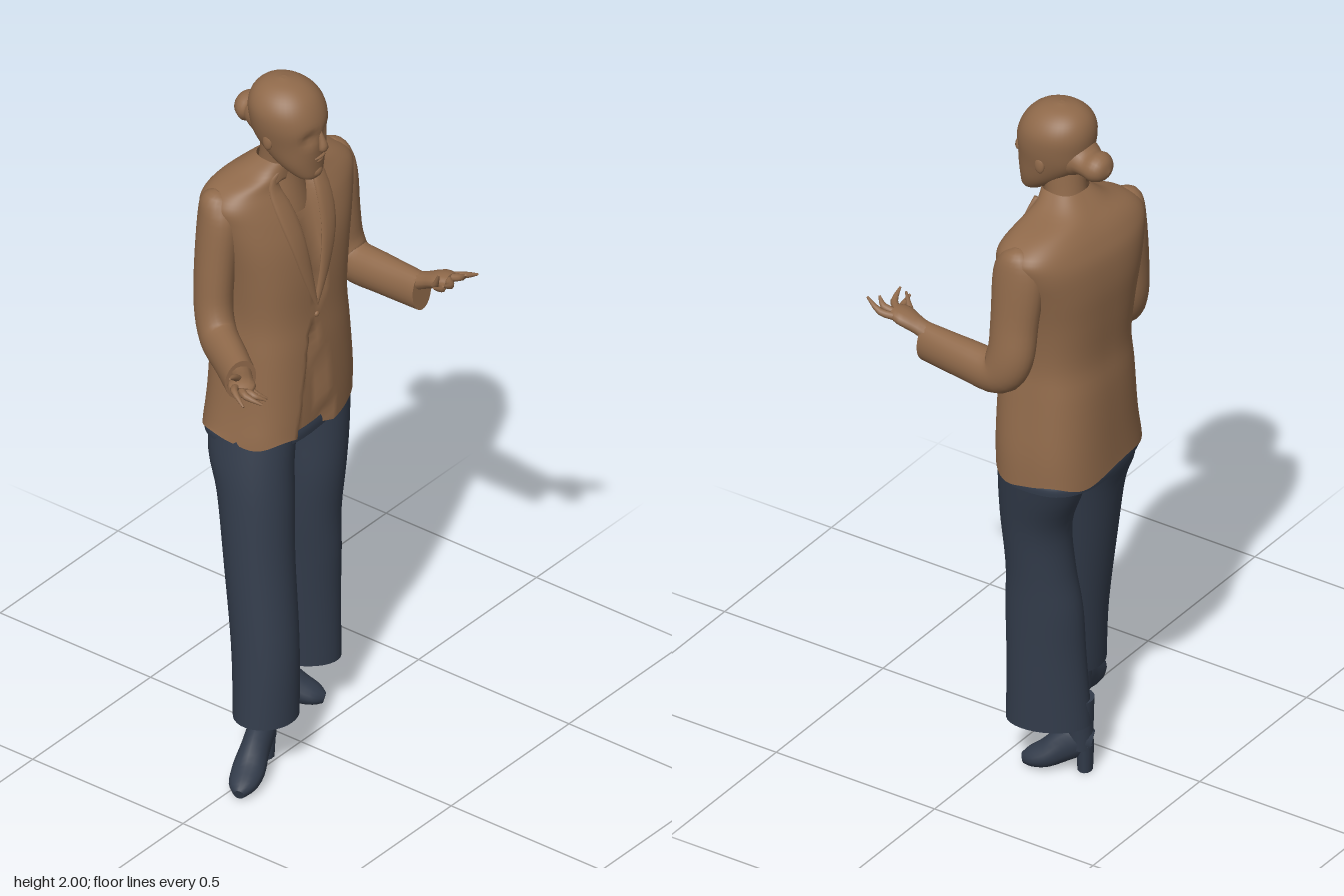
import * as THREE from 'three';

const cloth = new THREE.MeshStandardMaterial({ color: 0x8f694a, side: THREE.DoubleSide });
cloth.name = 'warm brown';
const navy = new THREE.MeshStandardMaterial({ color: 0x323b4a, side: THREE.DoubleSide });
navy.name = 'dark navy';

const V = (x, y, z) => new THREE.Vector3(x, y, z);

// Catmull-Rom interpolation of rows of numbers, n steps per span
function smooth(rows, n = 4) {
  const out = [];
  const at = i => rows[Math.max(0, Math.min(rows.length - 1, i))];
  for (let i = 0; i < rows.length - 1; i++) {
    for (let s = 0; s < n; s++) {
      const t = s / n;
      out.push(rows[i].map((p1, k) => {
        const p0 = at(i - 1)[k], p2 = at(i + 1)[k], p3 = at(i + 2)[k];
        return p1 + 0.5 * t * (p2 - p0 + t * (2 * p0 - 5 * p1 + 4 * p2 - p3 + t * (3 * (p1 - p2) + p3 - p0)));
      }));
    }
  }
  out.push(at(rows.length - 1));
  return out;
}

// Superellipse ring around centre c in the plane of u and v
function ring(c, u, v, a, b, n, power = 2) {
  return Array.from({ length: n }, (_, j) => {
    const t = j / n * Math.PI * 2, co = Math.cos(t), si = Math.sin(t), e = 2 / power;
    return c.clone()
      .addScaledVector(u, a * Math.sign(co) * Math.abs(co) ** e)
      .addScaledVector(v, b * Math.sign(si) * Math.abs(si) ** e);
  });
}

// Level rings from rows [y, cx, cz, rx, rz, yaw]; yaw may be left out
const levelRings = (rows, n, power) => smooth(rows.map(r => [...r, 0].slice(0, 6))).map(([y, x, z, a, b, yaw]) =>
  ring(V(x, y, z), V(Math.cos(yaw), 0, -Math.sin(yaw)), V(-Math.sin(yaw), 0, -Math.cos(yaw)), a, b, n, power));

// Rings across a path of rows [x, y, z, a, b]; b is measured along the hint
function pathRings(rows, hint, n, steps) {
  const r = smooth(rows, steps), p = r.map(q => V(q[0], q[1], q[2]));
  return r.map((q, i) => {
    const t = p[Math.min(i + 1, p.length - 1)].clone().sub(p[Math.max(i - 1, 0)]).normalize();
    const side = hint.clone().cross(t).normalize();
    return ring(p[i], side, t.clone().cross(side), q[3], q[4], n);
  });
}

// Skin over rings, with flat caps on both ends
function skin(name, rings, mat, caps = true) {
  const n = rings[0].length, pts = rings.flat(), index = [];
  for (let i = 0; i < rings.length - 1; i++) {
    for (let j = 0; j < n; j++) {
      const k = (j + 1) % n, a = i * n + j, b = i * n + k;
      index.push(a, b, b + n, a, b + n, a + n);
    }
  }
  if (caps) {
    [rings[0], rings[rings.length - 1]].forEach((r, end) => {
      const base = pts.length, mid = r.reduce((s, p) => s.add(p), V(0, 0, 0)).divideScalar(n);
      pts.push(...r, mid);
      for (let j = 0; j < n; j++) {
        const k = (j + 1) % n;
        index.push(base + n, base + (end ? j : k), base + (end ? k : j));
      }
    });
  }
  const g = new THREE.BufferGeometry().setFromPoints(pts);
  g.setIndex(index);
  g.computeVertexNormals();
  const m = new THREE.Mesh(g, mat);
  m.name = name;
  return m;
}

function ball(name, x, y, z, rx, ry, rz) {
  const m = new THREE.Mesh(new THREE.SphereGeometry(1, 20, 14), cloth);
  m.position.set(x, y, z);
  m.scale.set(rx, ry, rz);
  m.name = name;
  return m;
}

// Heeled boot, built pointing along +z from the back of the heel
function boot(name, x, z, yaw, length) {
  const g = new THREE.Group();
  g.name = name;
  const foot = [[0, .085, .008, .026, .03], [0, .092, .05, .036, .05], [0, .07, .11, .038, .05],
    [0, .04, .17, .045, .039], [0, .026, .225, .037, .026], [0, .017, .255, .015, .015]];
  g.add(skin('foot', pathRings(foot, V(0, 1, 0), 16, 3), navy));
  g.add(skin('shaft', levelRings([[.07, 0, .05, .036, .047], [.13, 0, .053, .038, .049], [.22, 0, .055, .044, .054]], 16), navy));
  const heel = new THREE.Mesh(new THREE.CylinderGeometry(.032, .028, .08, 12), navy);
  heel.position.set(0, .04, .034);
  heel.name = 'heel';
  g.add(heel);
  g.position.set(x, 0, z);
  g.rotation.y = yaw;
  g.scale.z = length / .255;
  return g;
}

// Palm with tapered fingers; each finger is root, middle and tip
function hand(name, palm, fingers) {
  const g = new THREE.Group();
  g.name = name;
  g.add(skin('palm', pathRings(palm, V(0, 1, 0), 12, 3), cloth));
  fingers.forEach(([a, b, c]) => g.add(skin('finger',
    pathRings([[...a, .011, .011], [...b, .01, .009], [...c, .003, .003]], V(0, 1, 0), 8, 3), cloth)));
  return g;
}

export function createModel() {
  const model = new THREE.Group();
  model.name = 'standingWoman';

  // Jacket body, hips turned one way and shoulders the other
  const body = levelRings([[.953, .087, -.146, .224, .156, .08], [1.05, .095, -.144, .212, .153, .06],
    [1.2, .095, -.143, .192, .148, 0], [1.3, .095, -.142, .18, .141, -.06], [1.42, .096, -.147, .188, .145, -.1],
    [1.52, .1, -.155, .205, .144, -.14], [1.6, .106, -.163, .224, .13, -.16], [1.65, .106, -.165, .23, .11, -.17],
    [1.688, .097, -.163, .185, .09, -.17], [1.72, .083, -.15, .1, .074, -.12], [1.755, .076, -.128, .058, .056, -.1]], 96, 2.7);
  const step = THREE.MathUtils.smoothstep;
  const frontZ = (x, y) => {
    const row = body.reduce((a, b) => Math.abs(b[0].y - y) < Math.abs(a[0].y - y) ? b : a);
    return row.slice(48).reduce((a, b) => Math.abs(b.x - x) < Math.abs(a.x - x) ? b : a).z;
  };
  const lapels = [-1, 1].map(s => [[1.33, 0, .006], [1.42, .028, .018], [1.53, .054, .029], [1.62, .068, .032], [1.69, .072, .022], [1.73, .055, .008]]
    .map(([y, d, w]) => [.07 + (y - 1.33) * .03 + s * d, y, frontZ(.07 + s * d, y) - .002, w, .008]));
  // neckline opening and the parted front below the button
  body.forEach(row => row.slice(48).forEach(p => {
    const w = Math.max((p.y - 1.33) * .17, (1.27 - p.y) * .2), mid = p.y > 1.3 ? .08 : .05;
    if (w > 0 && p.y < 1.7) p.z -= .022 * (1 - step(Math.abs(p.x - mid), w - .008, w + .008));
  }));
  // wavy hem
  body[0].forEach((p, j) => { p.y += .009 * Math.sin(j / 96 * Math.PI * 10); });
  model.add(skin('jacket', body, cloth, false));
  lapels.forEach((l, i) => model.add(skin(i ? 'leftLapel' : 'rightLapel', pathRings(l, V(0, 0, 1), 12, 3), cloth)));
  model.add(ball('button', .07, 1.3, -.002, .008, .008, .006));
  model.add(skin('jacketLining', levelRings([[.935, .088, -.153, .219, .144, .08], [.96, .088, -.153, .217, .143, .08],
    [1, .09, -.15, .19, .125, .05]], 48, 2.7), navy));

  // Trousers
  model.add(skin('rightTrouserLeg', levelRings([[.15, -.128, -.015, .092, .083, -.15], [.35, -.11, -.032, .09, .09, -.1],
    [.6, -.085, -.072, .095, .095], [.78, -.064, -.1, .1, .105], [.88, -.05, -.125, .102, .12], [.98, -.025, -.135, .105, .122]], 32), navy));
  model.add(skin('leftTrouserLeg', levelRings([[.15, .16, -.132, .074, .114, .4], [.35, .16, -.124, .075, .106, .4],
    [.5, .161, -.118, .078, .104, .3], [.62, .163, -.108, .082, .094, .2], [.76, .171, -.1, .089, .096, .1],
    [.88, .183, -.122, .1, .118], [.98, .19, -.138, .112, .128]], 32), navy));
  model.add(skin('trouserSeat', levelRings([[.885, .065, -.14, .03, .03], [.91, .07, -.14, .11, .09], [.98, .08, -.14, .18, .12]], 32), navy));

  // Boots
  model.add(boot('rightBoot', -.075, -.05, -1.2, .265));
  model.add(boot('leftBoot', .1, -.236, .45, .19));

  // Sleeves
  model.add(skin('rightSleeve', pathRings([[-.076, 1.68, -.2, .015, .02], [-.08, 1.66, -.202, .048, .052], [-.084, 1.6, -.204, .072, .058],
    [-.11, 1.46, -.2, .066, .054], [-.128, 1.35, -.19, .062, .051], [-.155, 1.285, -.152, .06, .05],
    [-.207, 1.273, -.073, .058, .046], [-.262, 1.267, .005, .06, .042]], V(-.77, .13, -.6), 24, 4), cloth));
  model.add(skin('leftSleeve', pathRings([[.288, 1.672, -.128, .015, .02], [.292, 1.652, -.13, .05, .048], [.3, 1.595, -.132, .074, .055],
    [.318, 1.46, -.13, .068, .052], [.335, 1.36, -.128, .066, .051], [.338, 1.3, -.09, .062, .05], [.332, 1.298, .01, .058, .047],
    [.322, 1.302, .15, .056, .036]], V(1, 0, 0), 24, 4), cloth));

  // Hands
  model.add(hand('rightHand', [[-.245, 1.28, -.01, .03, .026], [-.285, 1.292, .03, .027, .022], [-.325, 1.302, .058, .038, .02], [-.345, 1.3, .073, .03, .012]], [
    [[-.345, 1.305, .055], [-.375, 1.315, .072], [-.396, 1.295, .12]],
    [[-.34, 1.3, .068], [-.358, 1.3, .1], [-.345, 1.285, .142]],
    [[-.33, 1.297, .075], [-.335, 1.295, .105], [-.315, 1.28, .132]],
    [[-.315, 1.292, .075], [-.315, 1.285, .1], [-.295, 1.272, .12]],
    [[-.31, 1.305, .04], [-.345, 1.335, .05], [-.378, 1.35, .06]]]));
  model.add(hand('leftHand', [[.322, 1.325, .12, .03, .026], [.325, 1.342, .165, .027, .022], [.33, 1.362, .21, .038, .02], [.332, 1.37, .24, .028, .014]], [
    [[.35, 1.365, .22], [.366, 1.375, .262], [.358, 1.4, .308]],
    [[.34, 1.37, .235], [.345, 1.38, .265], [.335, 1.4, .285]],
    [[.325, 1.37, .235], [.3, 1.375, .262], [.262, 1.395, .268]],
    [[.315, 1.365, .225], [.29, 1.362, .242], [.258, 1.38, .24]],
    [[.32, 1.355, .19], [.295, 1.36, .215], [.285, 1.405, .235]]]));

  // Neck and head
  model.add(skin('neck', levelRings([[1.6, .08, -.135, .09, .08], [1.68, .078, -.135, .068, .066], [1.74, .075, -.128, .056, .056],
    [1.81, .07, -.115, .056, .06]], 24), cloth));
  const head = levelRings([[1.722, .072, -.025, .022, .018], [1.735, .072, -.034, .043, .036], [1.775, .07, -.062, .067, .068],
    [1.83, .069, -.088, .083, .099], [1.885, .068, -.094, .095, .107], [1.93, .068, -.101, .095, .102],
    [1.965, .068, -.106, .077, .084], [1.988, .068, -.109, .046, .052], [1.998, .068, -.11, .008, .008]], 40, 2.1);
  // eye sockets
  head.flat().forEach(p => [.036, .104].forEach(x => {
    if (p.z > -.06) p.z -= .014 * Math.exp(-(((p.x - x) / .02) ** 2) - ((p.y - 1.862) / .018) ** 2);
  }));
  model.add(skin('head', head, cloth));
  model.add(skin('nose', pathRings([[.072, 1.875, .002, .007, .008], [.073, 1.85, .012, .009, .01], [.074, 1.826, .018, .014, .012],
    [.074, 1.815, .01, .01, .006]], V(0, 0, 1), 12, 3), cloth));
  model.add(ball('upperLip', .074, 1.793, .004, .022, .006, .009));
  model.add(ball('lowerLip', .074, 1.781, 0, .018, .007, .009));
  model.add(ball('chin', .073, 1.745, -.012, .024, .02, .02));
  [-1, 1].forEach(s => model.add(ball(s < 0 ? 'rightEar' : 'leftEar', .069 + s * .085, 1.842, -.098, .008, .024, .015)));

  // Hair swept back into a bun
  model.add(skin('hairBun', pathRings([[.07, 1.86, -.13, .075, .07], [.075, 1.856, -.18, .056, .052], [.082, 1.852, -.21, .047, .036],
    [.085, 1.85, -.24, .047, .041], [.085, 1.845, -.263, .032, .028], [.085, 1.843, -.274, .006, .006]], V(0, 1, 0), 24, 4), cloth));
  return model;
}
